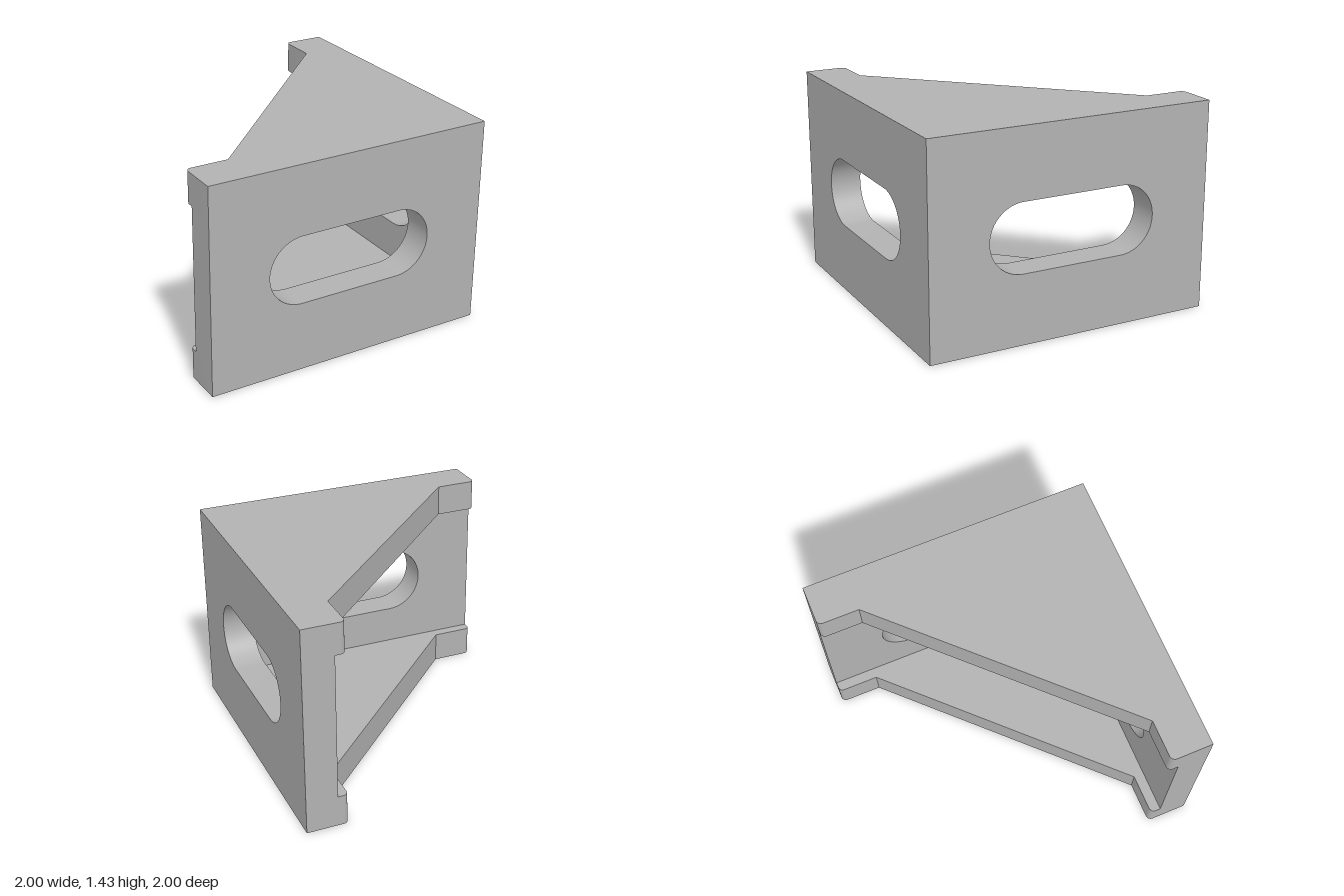
import * as THREE from 'three';
import { toCreasedNormals } from 'three/addons/utils/BufferGeometryUtils.js';

const HEIGHT = 1.43;
const T = 0.214;      // wall and gusset thickness
const FOOT = 0.714;   // inner edge of the gusset feet
const R = 0.036;      // rounding of the gusset feet

const extrude = (shape, depth) => toCreasedNormals(
  new THREE.ExtrudeGeometry(shape, { depth, bevelEnabled: false, curveSegments: 24 }), 0.6);

// Wall between the gussets, from x0 to 1, with a slot centred on x = 0
function wallGeometry(x0) {
  const h = HEIGHT / 2 - T;
  const shape = new THREE.Shape();
  shape.moveTo(x0, -h).lineTo(1, -h).lineTo(1, h).lineTo(x0, h).closePath();
  const r = 0.235, c = 0.355;
  const slot = new THREE.Path();
  slot.absarc(c, 0, r, -Math.PI / 2, Math.PI / 2);
  slot.absarc(-c, 0, r, Math.PI / 2, Math.PI * 1.5);
  slot.closePath();
  shape.holes.push(slot);
  return extrude(shape, T);
}

// Triangular plate with a squared foot at each end, drawn in x and -z
function gussetGeometry() {
  const s = new THREE.Shape();
  s.moveTo(-1, -1).lineTo(1, -1).lineTo(1, 1).lineTo(FOOT + R, 1);
  s.absarc(FOOT + R, 1 - R, R, Math.PI / 2, Math.PI);
  s.lineTo(FOOT, FOOT).lineTo(-FOOT, -FOOT).lineTo(-1 + R, -FOOT);
  s.absarc(-1 + R, -FOOT - R, R, Math.PI / 2, Math.PI);
  s.closePath();
  return extrude(s, T).rotateX(-Math.PI / 2);
}

export function createModel() {
  const group = new THREE.Group();
  group.name = 'angleBracket';
  const metal = new THREE.MeshStandardMaterial({ color: 0xb2b2b2 });
  metal.name = 'grey metal';

  const add = (name, geometry, x, y, z) => {
    const mesh = new THREE.Mesh(geometry, metal);
    mesh.name = name;
    mesh.position.set(x, y, z);
    group.add(mesh);
    return mesh;
  };

  // Two slotted walls meeting at a right angle
  add('frontWall', wallGeometry(-1), 0, HEIGHT / 2, 1 - T);
  add('sideWall', wallGeometry(-1 + T), 1 - T, HEIGHT / 2, 0).rotation.y = Math.PI / 2;

  // Bottom and top gussets
  const gusset = gussetGeometry();
  add('bottomGusset', gusset, 0, 0, 0);
  add('topGusset', gusset, 0, HEIGHT - T, 0);
  return group;
}
